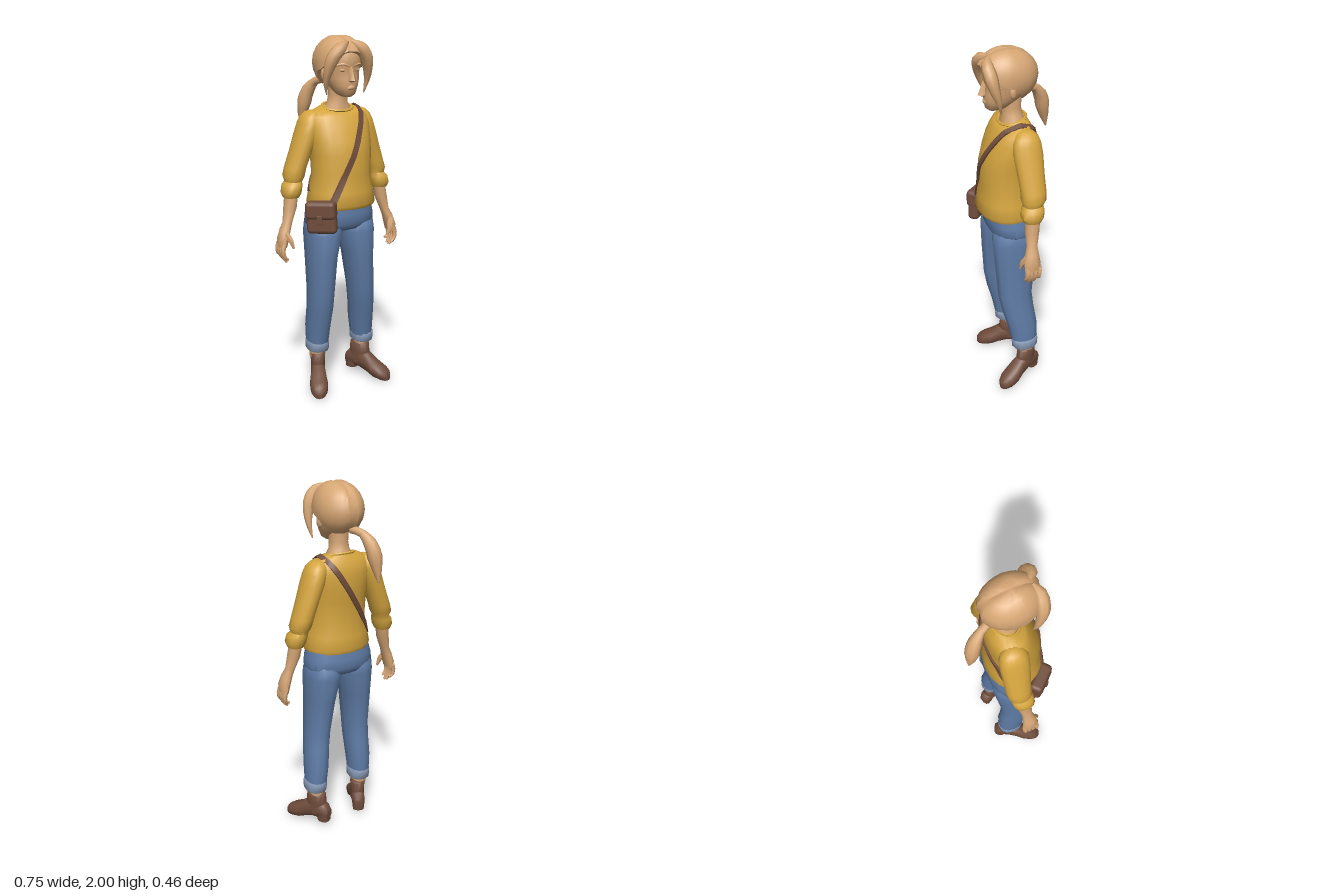
import * as THREE from 'three';
import { toCreasedNormals } from 'three/addons/utils/BufferGeometryUtils.js';
import { RoundedBoxGeometry } from 'three/addons/geometries/RoundedBoxGeometry.js';

const mat = (name, color) => Object.assign(new THREE.MeshStandardMaterial({ color }), { name });
const V = (x, y, z) => new THREE.Vector3(x, y, z);

// Joins rings of points (counter-clockwise seen from the last ring) into a creased surface with closed ends
function skin(rings, crease = 0.5) {
  const pos = [], n = rings[0].length;
  const tri = (...p) => p.forEach((q) => pos.push(q.x, q.y, q.z));
  const mid = (r) => r.reduce((s, p) => s.add(p), V(0, 0, 0)).divideScalar(n);
  const first = rings[0], last = rings[rings.length - 1], m0 = mid(first), m1 = mid(last);
  for (let j = 0; j < n; j++) {
    const k = (j + 1) % n;
    tri(m0, first[k], first[j]);
    tri(m1, last[j], last[k]);
    for (let i = 0; i < rings.length - 1; i++) {
      const a = rings[i], b = rings[i + 1];
      tri(a[j], a[k], b[k]);
      tri(a[j], b[k], b[j]);
    }
  }
  const g = new THREE.BufferGeometry();
  g.setAttribute('position', new THREE.Float32BufferAttribute(pos, 3));
  return toCreasedNormals(g, crease);
}

// Stacks rounded sections [x, y, half width, front z, back z]; bend may move each point
function loft(sections, sides = 14, e = 2.2, bend = (p) => p) {
  const list = sections[0][1] > sections[sections.length - 1][1] ? [...sections].reverse() : sections;
  const pw = (v) => Math.sign(v) * Math.abs(v) ** (2 / e);
  return skin(list.map(([x, y, rx, zf, zb]) => Array.from({ length: sides }, (_, j) => {
    const t = (j / sides) * Math.PI * 2;
    return bend(V(x + rx * pw(Math.sin(t)), y, (zf + zb) / 2 + ((zf - zb) / 2) * pw(Math.cos(t))));
  })), 0.85);
}

// Tapered round tube along a smooth path
function taper(points, radii, steps = 8, sides = 8) {
  const curve = new THREE.CatmullRomCurve3(points.map((p) => V(...p)));
  const f = curve.computeFrenetFrames(steps);
  return skin(Array.from({ length: steps + 1 }, (_, i) => {
    const s = (i / steps) * (radii.length - 1), k = Math.min(Math.floor(s), radii.length - 2);
    const r = THREE.MathUtils.lerp(radii[k], radii[k + 1], s - k), c = curve.getPointAt(i / steps);
    return Array.from({ length: sides }, (_, j) => {
      const t = (j / sides) * Math.PI * 2;
      return c.clone().addScaledVector(f.normals[i], r * Math.cos(t)).addScaledVector(f.binormals[i], r * Math.sin(t));
    });
  }), 0.95);
}

const TORSO = [
  [0, 1.09, 0.187, 0.2, -0.103], [0, 1.11, 0.193, 0.212, -0.11], [0, 1.18, 0.18, 0.202, -0.1],
  [0, 1.27, 0.165, 0.19, -0.085], [0, 1.38, 0.17, 0.19, -0.093], [0, 1.45, 0.175, 0.172, -0.1],
  [0, 1.53, 0.182, 0.14, -0.1], [0, 1.58, 0.175, 0.112, -0.09], [0, 1.608, 0.148, 0.096, -0.074],
  [0, 1.635, 0.085, 0.08, -0.06]];

// Depth of the sweater surface at x, y (side 1 = front, -1 = back)
function torsoZ(x, y, side) {
  let i = 0;
  while (i < TORSO.length - 2 && TORSO[i + 1][1] < y) i++;
  const a = TORSO[i], b = TORSO[i + 1], t = THREE.MathUtils.clamp((y - a[1]) / (b[1] - a[1]), 0, 1);
  const [, , rx, zf, zb] = a.map((v, k) => THREE.MathUtils.lerp(v, b[k], t));
  return (zf + zb) / 2 + side * ((zf - zb) / 2) * Math.max(0, 1 - Math.abs(x / rx) ** 2.2) ** (1 / 2.2);
}

// Flat strap lying on the sweater between two x, y points
function strapGeometry([x0, y0], [x1, y1], side) {
  const d = new THREE.Vector2(x1 - x0, y1 - y0).normalize(), w = 0.014, n = 18;
  return skin(Array.from({ length: n + 1 }, (_, i) => {
    const x = x0 + ((x1 - x0) * i) / n, y = y0 + ((y1 - y0) * i) / n;
    const pt = (s, lift) => {
      const px = x + s * w * d.y, py = y - s * w * d.x;
      return V(px, py, torsoZ(px, py, side) + lift);
    };
    const [front, back] = side > 0 ? [0.01, -0.006] : [0.006, -0.01];
    return [pt(-1, front), pt(1, front), pt(1, back), pt(-1, back)];
  }));
}

// Hair shell: rounded cap with a hairline rising over the face and a centre parting
function hairGeometry() {
  const rings = [], cols = 28, rows = 9;
  for (let i = -1; i < rows; i++) {
    rings.push(Array.from({ length: cols }, (_, j) => {
      const t = (j / cols) * Math.PI * 2, c = Math.cos(t);
      const low = c > 0 ? 0.105 * c ** 1.5 - 0.04 : 0.075 * Math.max(-1, 2 * c) - 0.04;
      const a = Math.acos(low / 0.144) * (1 - Math.max(i, 0) / (rows - 0.8));
      const out = Math.sin(a) ** (c > 0 ? 0.85 : 1), x = out * Math.sin(t) * 0.13;
      const r = (i < 0 ? 0.78 : 1) * (1 - 0.06 * Math.exp(-((x / 0.014) ** 2)));
      return V(-0.008 + x * r, 1.86 + Math.cos(a) * 0.144 * r, 0.035 + out * c * 0.164 * r);
    }));
  }
  return skin(rings, 0.6);
}

export function createModel() {
  const root = new THREE.Group();
  root.name = 'woman';
  const skinMat = mat('skin', 0xd6a676), hair = mat('hair', 0xd6a674), knit = mat('mustard knit', 0xd5a53f);
  const denim = mat('denim', 0x5f7ca6), turnup = mat('pale denim', 0x8a9dba), leather = mat('brown leather', 0x704d3c);
  const add = (name, geo, material, parent = root) => {
    const m = new THREE.Mesh(geo, material);
    m.name = name;
    parent.add(m);
    return m;
  };

  // Head and face
  add('head', loft([
    [0, 1.686, 0.025, 0.14, 0.08], [0, 1.7, 0.048, 0.156, 0.04], [0, 1.74, 0.071, 0.163, -0.02],
    [0, 1.78, 0.085, 0.164, -0.06], [0, 1.822, 0.094, 0.157, -0.08], [0, 1.85, 0.1, 0.168, -0.085],
    [0, 1.92, 0.1, 0.16, -0.08], [0, 1.96, 0.07, 0.11, -0.04]], 20), skinMat);
  add('nose', loft([[0, 1.762, 0.012, 0.17, 0.12], [0, 1.772, 0.018, 0.196, 0.12],
    [0, 1.8, 0.012, 0.184, 0.12], [0, 1.85, 0.012, 0.167, 0.12]], 8), skinMat);
  add('lips', loft([[0, 1.723, 0.014, 0.162, 0.13], [0, 1.73, 0.026, 0.168, 0.13],
    [0, 1.74, 0.026, 0.168, 0.13], [0, 1.748, 0.012, 0.163, 0.13]], 10), skinMat);
  for (const s of [-1, 1]) {
    const eye = add('eye', new THREE.SphereGeometry(1, 10, 6), skinMat);
    eye.scale.set(0.018, 0.009, 0.012);
    eye.position.set(s * 0.042, 1.825, 0.142);
    add('brow', taper([[s * 0.014, 1.846, 0.161], [s * 0.045, 1.855, 0.153], [s * 0.078, 1.847, 0.128]],
      [0.006, 0.009, 0.005], 6, 6), skinMat);
    const ear = add('ear', new THREE.SphereGeometry(1, 8, 6), skinMat);
    ear.scale.set(0.014, 0.034, 0.022);
    ear.position.set(s * 0.1, 1.8, 0.04);
    ear.rotation.y = s * 0.3;
  }
  add('neck', loft([[0, 1.58, 0.08, 0.076, -0.058], [0, 1.622, 0.074, 0.074, -0.054], [0, 1.65, 0.055, 0.068, -0.042],
    [0, 1.69, 0.05, 0.072, -0.035], [0, 1.76, 0.05, 0.08, -0.04]]), skinMat);

  // Hair: cap, face-framing locks swept from the parting, and ponytail
  add('hairCap', hairGeometry(), hair);
  for (const s of [-1, 1]) {
    const o = s < 0 ? -0.012 : 0;
    add('frontLock', taper([
      [s * 0.012, 1.968, 0.135], [s * 0.05 + o / 2, 1.945, 0.158], [s * 0.094 + o, 1.89, 0.154],
      [s * 0.114 + o, 1.82, 0.138], [s * 0.117 + o, 1.76, 0.12], [s * 0.106 + o, 1.7, 0.108]],
    [0.012, 0.034, 0.035, 0.026, 0.015, 0.003], 12, 8), hair);
  }
  add('ponytail', taper([[-0.025, 1.765, -0.07], [-0.052, 1.753, -0.13], [-0.08, 1.69, -0.18], [-0.095, 1.595, -0.203],
    [-0.1, 1.5, -0.222]], [0.022, 0.022, 0.036, 0.04, 0.026, 0.004], 10, 10), hair);

  // Sweater, its neckline dipping at the front
  add('sweaterBody', loft(TORSO, 18, 2.2, (p) => {
    p.y -= 0.4 * Math.max(0, p.z) * THREE.MathUtils.clamp((p.y - 1.6) / 0.035, 0, 1);
    return p;
  }), knit);
  const collar = add('collar', toCreasedNormals(new THREE.TorusGeometry(0.073, 0.008, 6, 18), 0.95), knit);
  collar.rotation.x = Math.PI / 2 + 0.22;
  collar.scale.x = 1.15;
  collar.position.set(0, 1.624, 0.012);

  // Arms, built on the left and mirrored through their x values
  for (const s of [-1, 1]) {
    const arm = new THREE.Group();
    arm.name = s > 0 ? 'leftArm' : 'rightArm';
    root.add(arm);
    const side = (list) => list.map(([x, ...r]) => [s * x, ...r]);
    add('sleeve', loft(side([
      [0.143, 1.612, 0.014, 0.006, -0.024], [0.148, 1.603, 0.035, 0.034, -0.05], [0.154, 1.58, 0.052, 0.056, -0.074],
      [0.163, 1.545, 0.058, 0.068, -0.086], [0.18, 1.49, 0.06, 0.07, -0.09], [0.212, 1.4, 0.057, 0.062, -0.085],
      [0.245, 1.31, 0.056, 0.054, -0.084], [0.258, 1.265, 0.057, 0.055, -0.078], [0.262, 1.237, 0.046, 0.046, -0.062],
      [0.272, 1.217, 0.054, 0.06, -0.065], [0.281, 1.178, 0.054, 0.064, -0.058], [0.282, 1.153, 0.043, 0.05, -0.046]])), knit, arm);
    add('forearm', loft(side([
      [0.28, 1.17, 0.036, 0.042, -0.04], [0.29, 1.1, 0.036, 0.047, -0.032], [0.312, 1.02, 0.026, 0.046, -0.014],
      [0.33, 0.98, 0.029, 0.06, -0.016], [0.345, 0.93, 0.028, 0.07, -0.021], [0.35, 0.89, 0.02, 0.067, -0.019]]), 10), skinMat, arm);
    for (let i = 0; i < 4; i++) {
      const z = 0.055 - i * 0.022, tip = [0.82, 0.802, 0.808, 0.835][i];
      add('finger', taper(side([[0.352, 0.91, z], [0.361, 0.87, z + 0.002], [0.352, 0.838, z + 0.004], [0.332, tip, z + 0.006]]),
        [0.014, 0.014, 0.012, 0.007], 6, 6), skinMat, arm);
    }
    add('thumb', taper(side([[0.335, 0.965, 0.05], [0.318, 0.925, 0.07], [0.306, 0.885, 0.078]]),
      [0.016, 0.015, 0.007], 5, 6), skinMat, arm);
  }

  // Jeans: seat and two slightly uneven legs [left x, right x, y, half width, front, back]
  add('jeansSeat', loft([[0, 1.13, 0.175, 0.155, -0.085], [0, 1.05, 0.196, 0.164, -0.102],
    [0, 1, 0.2, 0.164, -0.106], [0, 0.965, 0.17, 0.145, -0.09], [0, 0.945, 0.08, 0.09, -0.05]], 18, 2.4), denim);
  const LEG = [
    [0.1, -0.1, 1.04, 0.075, 0.11, -0.07], [0.1, -0.1, 0.99, 0.096, 0.155, -0.1], [0.102, -0.103, 0.94, 0.098, 0.165, -0.102],
    [0.116, -0.118, 0.8, 0.08, 0.157, -0.08], [0.132, -0.125, 0.6, 0.069, 0.145, -0.056], [0.146, -0.124, 0.5, 0.067, 0.128, -0.064],
    [0.161, -0.125, 0.38, 0.065, 0.096, -0.08], [0.171, -0.127, 0.25, 0.057, 0.072, -0.073]];
  for (const s of [-1, 1]) {
    const x = s > 0 ? 0.173 : -0.125;
    add(s > 0 ? 'leftLeg' : 'rightLeg', loft(LEG.map(([l, r, ...rest]) => [s > 0 ? l : r, ...rest]), 12), denim);
    add('turnup', loft([[x, 0.232, 0.058, 0.07, -0.07], [x, 0.24, 0.062, 0.076, -0.076],
      [x, 0.285, 0.063, 0.08, -0.08], [x, 0.294, 0.059, 0.076, -0.078]], 12), turnup);
    add('ankle', loft([[x, 0.18, 0.038, 0.035, -0.055], [x, 0.25, 0.04, 0.04, -0.06]], 10), skinMat);

    // Ankle boot, toes turned outward
    const boot = new THREE.Group();
    boot.name = s > 0 ? 'leftBoot' : 'rightBoot';
    boot.position.x = s > 0 ? 0.176 : -0.121;
    boot.rotation.y = s * 0.45;
    root.add(boot);
    add('bootShaft', loft([[0, 0.08, 0.04, 0.06, -0.085], [0, 0.15, 0.041, 0.052, -0.076],
      [0, 0.205, 0.044, 0.045, -0.07], [0, 0.21, 0.04, 0.04, -0.065]], 12), leather, boot);
    add('bootFoot', loft([
      [0, -0.1, 0.026, -0.06, -0.12], [0, -0.075, 0.039, -0.05, -0.15], [0, 0, 0.041, -0.046, -0.165],
      [0, 0.05, 0.044, -0.03, -0.148], [0, 0.1, 0.052, -0.01, -0.11], [0, 0.15, 0.05, -0.002, -0.085],
      [0, 0.18, 0.036, -0.001, -0.066], [0, 0.195, 0.016, -0.006, -0.045]], 12, 2.4).rotateX(Math.PI / 2), leather, boot);
    add('bootHeel', loft([[0, 0.035, 0.033, -0.03, -0.098], [0, 0.085, 0.038, -0.02, -0.102]], 10, 3), leather, boot);
  }

  // Shoulder bag on the right hip, with flap, tab and strap
  const bag = new THREE.Group();
  bag.name = 'shoulderBag';
  bag.position.set(-0.174, 1.06, 0.15);
  bag.rotation.set(0, -0.8, 0.06);
  root.add(bag);
  add('bagBody', new RoundedBoxGeometry(0.165, 0.168, 0.064, 2, 0.024), leather, bag).position.y = -0.006;
  add('bagFlap', new RoundedBoxGeometry(0.168, 0.1, 0.076, 2, 0.024), leather, bag).position.set(0, 0.038, 0.003);
  add('bagTab', new RoundedBoxGeometry(0.03, 0.05, 0.012, 1, 0.004), leather, bag).position.set(0, -0.008, 0.04);
  add('strapFront', strapGeometry([-0.13, 1.12], [0.122, 1.628], 1), leather);
  add('strapBack', strapGeometry([-0.168, 1.17], [0.122, 1.628], -1), leather);
  return root;
}
